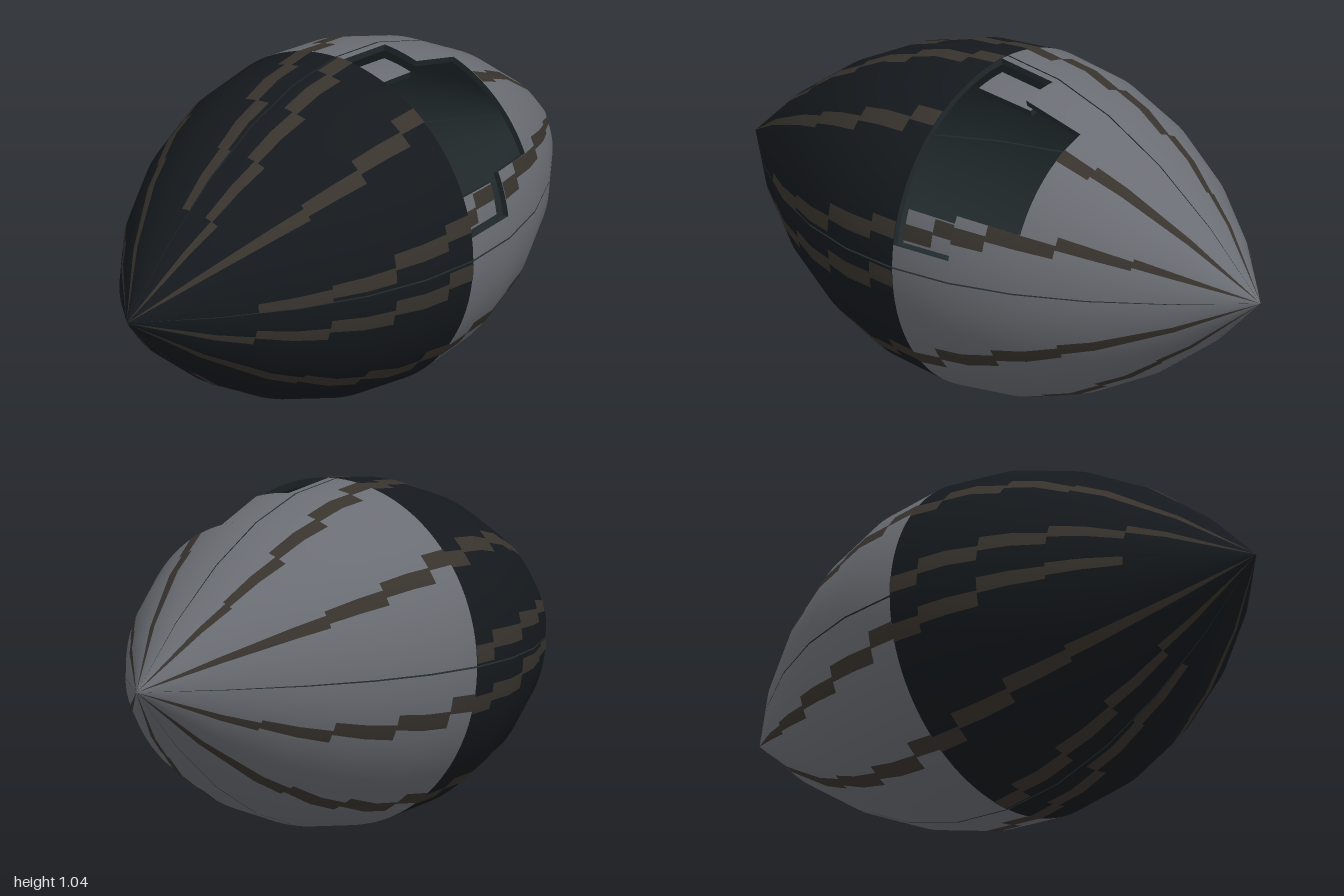
import * as THREE from 'three';

const R = 0.52, WALL = 0.02, GAP = 0.3, STRIPE = 3, RECESS = -0.045;

const material = (color, side = THREE.FrontSide) => new THREE.MeshStandardMaterial({ color, side });
const mats = {
  front: material(0x15191d),
  back: material(0x6a6d73),
  stripe: material(0x38332d),
  inside: material(0x20292b),
  rim: material(0x20292b, THREE.DoubleSide),
};

// Parabolic spindle profile, straight between stations 0.2 apart
function radius(z) {
  const t = Math.min(Math.abs(z), 1) * 5, i = Math.floor(t + 1e-6), f = Math.max(0, t - i);
  const at = k => R * (1 - Math.min(k / 5, 1) ** 2);
  return at(i) * (1 - f) + at(i + 1) * f;
}

function point(deg, z, offset) {
  const a = deg * Math.PI / 180, r = Math.max(0, radius(z) + offset);
  return [r * Math.cos(a), R + r * Math.sin(a), z];
}

const steps = (from, to, n) => Array.from({ length: n + 1 }, (_, i) => from + (to - from) * i / n);
const angleSteps = (a0, a1) => steps(a0, a1, Math.max(1, Math.round((a1 - a0) / 3)));
const zSteps = (z0, z1) => steps(z0, z1, Math.max(1, Math.round((z1 - z0) / 0.1)));

// Curved sheet over an angle and z range, facing outward or inward
function sheet(a0, a1, z0, z1, offset, inward = false) {
  const as = angleSteps(a0, a1), zs = zSteps(z0, z1), s = inward ? -1 : 1;
  const pos = [], nor = [], idx = [];
  for (const z of zs) for (const deg of as) {
    const a = deg * Math.PI / 180;
    const n = new THREE.Vector3(Math.cos(a), Math.sin(a), 2 * R * z).normalize().multiplyScalar(s);
    pos.push(...point(deg, z, offset));
    nor.push(n.x, n.y, n.z);
  }
  const w = as.length;
  for (let j = 0; j < zs.length - 1; j++) for (let i = 0; i < w - 1; i++) {
    const p = j * w + i, q = p + 1, u = p + w, v = u + 1;
    if (inward) idx.push(p, u, q, q, u, v);
    else idx.push(p, q, u, q, v, u);
  }
  const g = new THREE.BufferGeometry();
  g.setAttribute('position', new THREE.Float32BufferAttribute(pos, 3));
  g.setAttribute('normal', new THREE.Float32BufferAttribute(nor, 3));
  g.setIndex(idx);
  return g;
}

// Wall thickness around the edge of a sheet
function rim(a0, a1, z0, z1, outer, inner) {
  const as = angleSteps(a0, a1), zs = zSteps(z0, z1), pos = [];
  const edges = [
    as.map(a => [a, z0]), as.map(a => [a, z1]),
    zs.map(z => [a0, z]), zs.map(z => [a1, z]),
  ];
  for (const e of edges) for (let i = 0; i < e.length - 1; i++) {
    const [p, q] = [point(...e[i], outer), point(...e[i + 1], outer)];
    const [u, v] = [point(...e[i], inner), point(...e[i + 1], inner)];
    pos.push(...p, ...q, ...u, ...q, ...v, ...u);
  }
  const g = new THREE.BufferGeometry();
  g.setAttribute('position', new THREE.Float32BufferAttribute(pos, 3));
  g.computeVertexNormals();
  return g;
}

function addMesh(parent, name, geometry, mat) {
  const m = new THREE.Mesh(geometry, mat);
  m.name = name;
  parent.add(m);
}

// Solid piece of the hull: outer skin, inner skin and edges
function addPanel(parent, name, a0, a1, z0, z1, mat, offset = 0) {
  const panel = new THREE.Group();
  panel.name = name;
  addMesh(panel, 'outerSkin', sheet(a0, a1, z0, z1, offset), mat);
  addMesh(panel, 'innerSkin', sheet(a0, a1, z0, z1, offset - WALL, true), mats.inside);
  addMesh(panel, 'edges', rim(a0, a1, z0, z1, offset, offset - WALL), mats.rim);
  parent.add(panel);
}

// Stepped stripes: centre angle in each z band, counted from the middle to the tip
const BANDS = [0, 0.1, 0.3, 0.5, 0.7, 1];
const frontStripes = [[13, 10, 5, 3.3], [53, 48, 44, 42, 42], [86, 82, 78, 74, 69]];
const backStripes = [[12, 17, 21, 25, 27], [52, 57, 60, 62, 62]];

function addStripes(parent, name, start, stripes, dir, hatch) {
  stripes.forEach((angles, s) => angles.forEach((a, i) => {
    const put = (b0, b1, offset) => {
      const [z0, z1] = dir > 0 ? [b0, b1] : [-b1, -b0];
      addMesh(parent, name, sheet(start + a - STRIPE, start + a + STRIPE, z0, z1, offset), mats.stripe);
    };
    const [b0, b1] = [BANDS[i], BANDS[i + 1]];
    if (!hatch) return put(b0, b1, 0.002);
    // Around the opening the first stripe lies on the sunken tile, the second is cut away
    if (s === 1) { if (b1 > 0.4) put(Math.max(b0, 0.4), b1, 0.002); return; }
    if (b0 < 0.2) put(b0, Math.min(b1, 0.2), RECESS + 0.002);
    if (b1 > 0.2) put(Math.max(b0, 0.2), b1, 0.002);
  }));
}

export function createModel() {
  const model = new THREE.Group();
  model.name = 'spindleHull';
  for (let q = 0; q < 4; q++) {
    const quarter = new THREE.Group();
    quarter.name = 'hullQuarter';
    const start = q * 90, lo = start + GAP, hi = start + 90 - GAP, open = q === 0;
    addPanel(quarter, 'frontPanel', lo, hi, 0, 1, mats.front);
    if (!open) addPanel(quarter, 'backPanel', lo, hi, -1, 0, mats.back);
    else {
      // Quarter with the opening and a sunken tile on each side of it
      addPanel(quarter, 'backPanel', lo, hi, -1, -0.4, mats.back);
      addPanel(quarter, 'lowerPanel', lo, 24, -0.4, -0.2, mats.back);
      addPanel(quarter, 'upperPanel', 73, hi, -0.4, -0.2, mats.back);
      addPanel(quarter, 'lowerSidePanel', lo, 8, -0.2, 0, mats.back);
      addPanel(quarter, 'lowerSunkenTile', 8, 20.5, -0.2, 0, mats.back, RECESS);
      addPanel(quarter, 'upperSunkenTile', 74, 87, -0.2, 0, mats.back, RECESS);
      addPanel(quarter, 'upperSidePanel', 87, hi, -0.2, 0, mats.back);
    }
    addStripes(quarter, 'frontStripe', start, frontStripes, 1, false);
    addStripes(quarter, 'backStripe', start, backStripes, -1, open);
    model.add(quarter);
  }
  return model;
}
